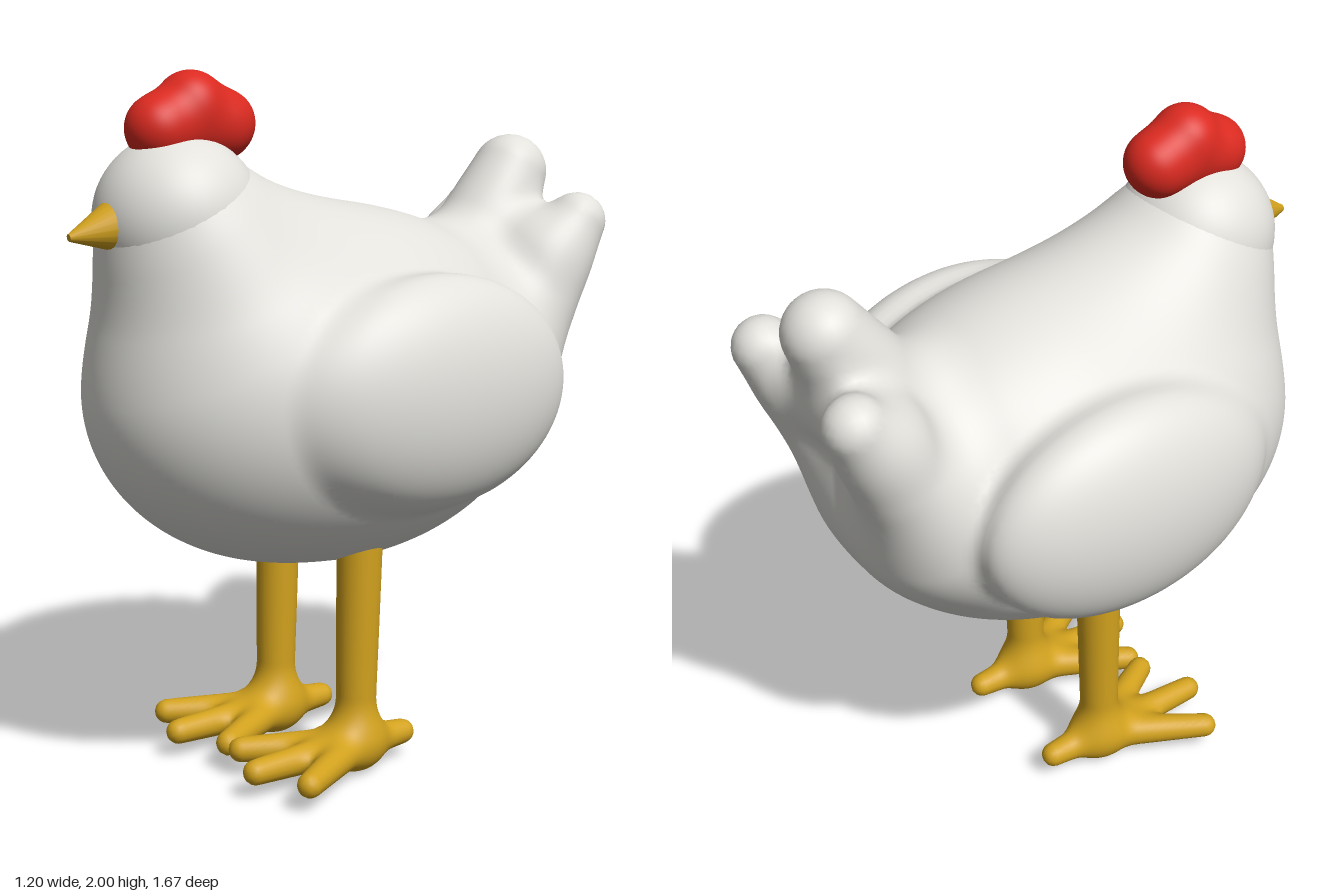
import * as THREE from 'three';

const V = (x, y, z) => new THREE.Vector3(x, y, z);

// Soft-blended solids, each a function (x, y, z) -> distance
const cone = (a, b, ra, rb) => {
  const d = b.clone().sub(a), l2 = d.lengthSq(), rr = ra - rb, a2 = l2 - rr * rr;
  return (x, y, z) => {
    const px = x - a.x, py = y - a.y, pz = z - a.z;
    const u = px * d.x + py * d.y + pz * d.z, w = u - l2;
    const x2 = (px * l2 - d.x * u) ** 2 + (py * l2 - d.y * u) ** 2 + (pz * l2 - d.z * u) ** 2;
    const u2 = u * u * l2, w2 = w * w * l2, k = Math.sign(rr) * rr * rr * x2;
    if (Math.sign(w) * a2 * w2 > k) return Math.sqrt(x2 + w2) / l2 - rb;
    if (Math.sign(u) * a2 * u2 < k) return Math.sqrt(x2 + u2) / l2 - ra;
    return (Math.sqrt(x2 * a2 / l2) + u * rr) / l2 - ra;
  };
};
const ball = (c, r) => (x, y, z) => Math.hypot(x - c.x, y - c.y, z - c.z) - r;
const ellipsoid = (c, r) => (x, y, z) => {
  const px = (x - c.x) / r.x, py = (y - c.y) / r.y, pz = (z - c.z) / r.z;
  const k0 = Math.hypot(px, py, pz), k1 = Math.hypot(px / r.x, py / r.y, pz / r.z);
  return k1 < 1e-6 ? -Math.min(r.x, r.y, r.z) : k0 * (k0 - 1) / k1;
};
const mirrored = (f) => (x, y, z) => f(Math.abs(x), y, z);
const blend = (k, ...fs) => (x, y, z) => fs.map((f) => f(x, y, z)).reduce((a, b) => {
  const h = Math.max(k - Math.abs(a - b), 0) / k;
  return Math.min(a, b) - h * h * k / 4;
});

// Skins a blended solid with a smooth mesh on a regular grid
function skin(f, lo, hi, s) {
  const n = ['x', 'y', 'z'].map((k) => Math.ceil((hi[k] - lo[k]) / s) + 1);
  const step = [1, n[0], n[0] * n[1]];
  const val = new Float32Array(n[0] * n[1] * n[2]);
  const each = (from, trim, fn) => {
    for (let k = from; k < n[2] - trim; k++)
      for (let j = from; j < n[1] - trim; j++)
        for (let i = from; i < n[0] - trim; i++) fn(i, j, k, i + j * step[1] + k * step[2]);
  };
  each(0, 0, (i, j, k, id) => { val[id] = f(lo.x + i * s, lo.y + j * s, lo.z + k * s); });

  const pos = [], nor = [], index = [], cell = new Int32Array(val.length).fill(-1);
  const grad = (p) => {
    const e = 0.004;
    return V(f(p.x + e, p.y, p.z) - f(p.x - e, p.y, p.z),
      f(p.x, p.y + e, p.z) - f(p.x, p.y - e, p.z),
      f(p.x, p.y, p.z + e) - f(p.x, p.y, p.z - e)).divideScalar(2 * e);
  };
  // One vertex per crossed cell, pulled onto the surface
  each(0, 1, (i, j, k, id) => {
    const p = V(0, 0, 0);
    let hits = 0;
    for (let c = 0; c < 8; c++) {
      const o = [c & 1, (c >> 1) & 1, c >> 2];
      const a = id + o[0] + o[1] * step[1] + o[2] * step[2];
      for (let ax = 0; ax < 3; ax++) {
        if (o[ax]) continue;
        const b = a + step[ax];
        if ((val[a] < 0) === (val[b] < 0)) continue;
        const q = [i + o[0], j + o[1], k + o[2]];
        q[ax] += val[a] / (val[a] - val[b]);
        p.add(V(...q));
        hits++;
      }
    }
    if (!hits) return;
    p.multiplyScalar(s / hits).add(lo);
    for (let m = 0; m < 2; m++) {
      const g = grad(p);
      const move = f(p.x, p.y, p.z) / Math.max(g.lengthSq(), 0.2);
      p.addScaledVector(g, -Math.max(-s / 2, Math.min(s / 2, move)));
    }
    cell[id] = pos.length / 3;
    pos.push(p.x, p.y, p.z);
    nor.push(...grad(p).normalize().toArray());
  });
  // One quad around every crossed grid edge
  each(1, 1, (i, j, k, id) => {
    for (let ax = 0; ax < 3; ax++) {
      if ((val[id] < 0) === (val[id + step[ax]] < 0)) continue;
      const b = step[(ax + 1) % 3], c = step[(ax + 2) % 3];
      const q = [id, id - b, id - b - c, id - c].map((v) => cell[v]);
      if (val[id] >= 0) q.reverse();
      index.push(q[0], q[1], q[2], q[0], q[2], q[3]);
    }
  });
  const g = new THREE.BufferGeometry();
  g.setAttribute('position', new THREE.Float32BufferAttribute(pos, 3));
  g.setAttribute('normal', new THREE.Float32BufferAttribute(nor, 3));
  g.setIndex(index);
  return g;
}

export function createModel() {
  const group = new THREE.Group();
  const material = (name, color) => {
    const m = new THREE.MeshStandardMaterial({ color });
    m.name = name;
    return m;
  };
  const white = material('white feathers', 0xe2e1dc);
  const red = material('red comb', 0xdb2a20);
  const yellow = material('yellow skin', 0xd2a21e);
  const add = (name, geometry, mat) => {
    const mesh = new THREE.Mesh(geometry, mat);
    mesh.name = name;
    group.add(mesh);
    return mesh;
  };

  // Trunk: belly, chest rising into the neck, and the slope of the back
  const trunk = blend(0.14,
    ellipsoid(V(0, 1.1, 0.02), V(0.5, 0.5, 0.7)),
    cone(V(0, 1.14, 0.285), V(0, 1.575, 0.497), 0.425, 0.228),
    cone(V(0, 1.26, -0.25), V(0, 1.47, 0.4), 0.26, 0.23));
  // Three tail feathers joined by a web
  const tail = blend(0.1,
    cone(V(0, 1.2, -0.42), V(0, 1.68, -0.69), 0.21, 0.112),
    mirrored(cone(V(0.16, 1.1, -0.46), V(0.235, 1.545, -0.748), 0.19, 0.085)),
    cone(V(-0.19, 1.45, -0.64), V(0.19, 1.45, -0.64), 0.09, 0.09));
  const wings = mirrored(ellipsoid(V(0.42, 1.135, -0.04), V(0.18, 0.325, 0.455)));
  const body = blend(0.05, blend(0.12, trunk, tail), wings);
  add('body', skin(body, V(-0.7, 0.52, -0.92), V(0.7, 1.9, 0.84), 0.022), white);

  // Head
  add('head', new THREE.SphereGeometry(0.23, 48, 32), white).position.set(0, 1.607, 0.505);

  // Comb of three soft lobes on a long base
  const comb = blend(0.05, ball(V(0, 1.85, 0.563), 0.083),
    ball(V(0, 1.9, 0.46), 0.098), ball(V(0, 1.86, 0.358), 0.085),
    cone(V(0, 1.84, 0.55), V(0, 1.84, 0.38), 0.08, 0.08));
  add('comb', skin(comb, V(-0.15, 1.7, 0.22), V(0.15, 2.05, 0.7), 0.012), red);

  // Beak
  const beak = add('beak', new THREE.CylinderGeometry(0.01, 0.09, 0.18, 20), yellow);
  beak.position.set(0, 1.592, 0.75);
  beak.rotation.x = Math.PI / 2 + 0.17;

  // Legs with three front toes and one back toe
  const hub = V(0, 0.08, 0.05);
  const toes = [[0, 0.405], [-0.165, 0.34], [0.165, 0.34], [0, -0.12]]
    .map(([x, z]) => cone(hub, V(x, 0.078, z), 0.052, 0.036));
  const foot = blend(0.05, ...toes);
  const shank = cone(V(0, 0.115, 0.053), V(0, 0.75, 0.038), 0.056, 0.067);
  const legGeometry = skin(blend(0.08, foot, shank), V(-0.24, -0.04, -0.2), V(0.24, 0.86, 0.48), 0.014);
  for (const [name, x] of [['leftLeg', 0.197], ['rightLeg', -0.197]])
    add(name, legGeometry, yellow).position.x = x;

  return group;
}
